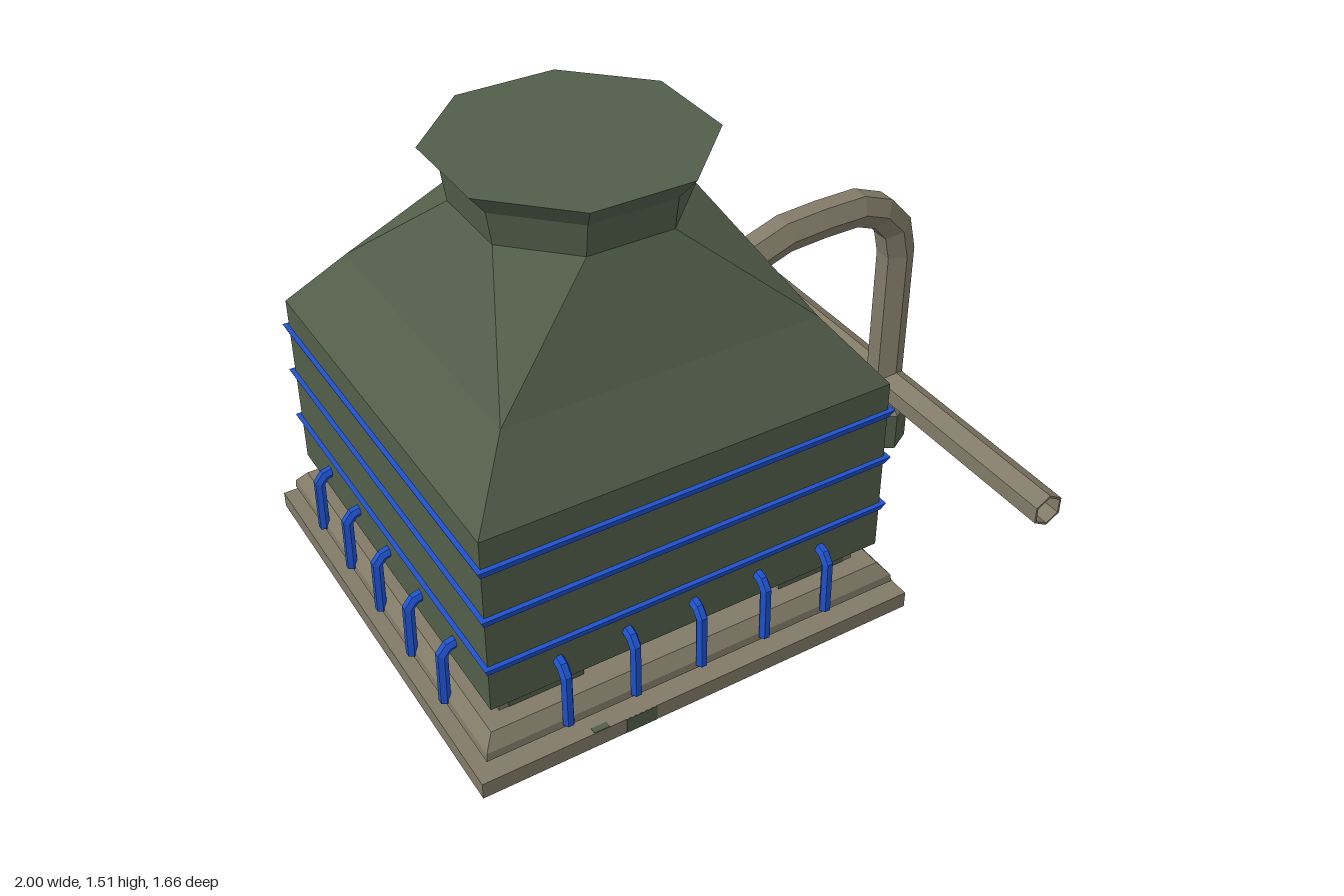
import * as THREE from 'three';

const CX = -0.272; // tower axis
const green = new THREE.MeshStandardMaterial({ color: 0x525e4a });
green.name = 'mossGreen';
const tan = new THREE.MeshStandardMaterial({ color: 0x817a67 });
tan.name = 'stoneTan';
const blue = new THREE.MeshStandardMaterial({ color: 0x1e52cc });
blue.name = 'clampBlue';

// Flat-faced skin over a series of rings, each counter-clockwise about the direction of travel
function loft(rings, capStart = true, capEnd = true) {
  const pos = [];
  const tri = (a, b, c) => {
    const area = b.clone().sub(a).cross(c.clone().sub(a)).length();
    if (area > 1e-8) for (const p of [a, b, c]) pos.push(p.x, p.y, p.z);
  };
  const n = rings[0].length;
  for (let r = 0; r < rings.length - 1; r++) {
    for (let i = 0; i < n; i++) {
      const j = (i + 1) % n;
      tri(rings[r][i], rings[r][j], rings[r + 1][j]);
      tri(rings[r][i], rings[r + 1][j], rings[r + 1][i]);
    }
  }
  const first = rings[0], last = rings[rings.length - 1];
  for (let i = 1; i < n - 1; i++) {
    if (capStart) tri(first[0], first[i + 1], first[i]);
    if (capEnd) tri(last[0], last[i], last[i + 1]);
  }
  const g = new THREE.BufferGeometry();
  g.setAttribute('position', new THREE.Float32BufferAttribute(pos, 3));
  g.computeVertexNormals();
  return g;
}

// Square ring (cut = half) or octagonal ring (smaller cut)
function ring([y, h, c = h]) {
  return [[h, c], [h, -c], [c, -h], [-c, -h], [-h, -c], [-h, c], [-c, h], [c, h]]
    .map(([x, z]) => new THREE.Vector3(x, y, z));
}

// Hexagonal pipe along a path in the xy plane
function hexPipe(path, radius) {
  const pts = path.map(([x, y]) => new THREE.Vector3(x, y, 0));
  const rings = pts.map((p, i) => {
    const inner = i > 0 && i < pts.length - 1;
    const a = pts[Math.max(i - 1, 0)], b = pts[Math.min(i + 1, pts.length - 1)];
    const before = p.clone().sub(a).normalize(), after = b.clone().sub(p).normalize();
    const t = before.clone().add(after).normalize();
    const miter = inner ? 1 / Math.sqrt((1 + before.dot(after)) / 2) : 1;
    const n = new THREE.Vector3(-t.y, t.x, 0).multiplyScalar(miter);
    return Array.from({ length: 6 }, (_, k) => {
      const ang = Math.PI / 6 + k * Math.PI / 3;
      return p.clone().addScaledVector(n, radius * Math.cos(ang))
        .add(new THREE.Vector3(0, 0, radius * Math.sin(ang)));
    });
  });
  return loft(rings);
}

function flat(geometry) {
  const g = geometry.toNonIndexed();
  g.computeVertexNormals();
  return g;
}

function add(parent, name, geometry, material, x = 0, y = 0, z = 0) {
  const mesh = new THREE.Mesh(geometry, material);
  mesh.name = name;
  mesh.position.set(x, y, z);
  parent.add(mesh);
  return mesh;
}

export function createModel() {
  const model = new THREE.Group();
  model.name = 'coolingTower';
  const tower = new THREE.Group();
  tower.name = 'tower';
  tower.position.set(CX, 0, 0.004);
  model.add(tower);

  // Stepped plinth, hollow underneath, with a worn patch on its front edge
  add(tower, 'plinth', loft([
    [0.05, 0.715], [0, 0.715], [0, 0.728], [0.055, 0.728], [0.055, 0.645],
    [0.095, 0.645], [0.095, 0.695], [0.12, 0.692], [0.16, 0.66],
  ].map(ring)), tan);
  add(tower, 'plinthPatch', new THREE.BoxGeometry(0.1, 0.053, 0.004), green, -0.22, 0.028, 0.728);
  add(tower, 'ledgePatch', new THREE.BoxGeometry(0.05, 0.004, 0.02), green, -0.35, 0.055, 0.717);

  // Corner legs between plinth and housing, stone with green facings
  for (const sx of [-1, 1]) for (const sz of [-1, 1]) {
    add(tower, 'leg', new THREE.BoxGeometry(0.27, 0.09, 0.27), tan, sx * 0.47, 0.198, sz * 0.465);
    add(tower, 'legFrontFacing', new THREE.BoxGeometry(0.24, 0.09, 0.004), green, sx * 0.455, 0.198, sz * 0.6);
    add(tower, 'legSideFacing', new THREE.BoxGeometry(0.004, 0.09, 0.13), green, sx * 0.605, 0.198, sz * 0.395);
  }

  // Square housing tapering to an octagonal neck with a flared cap
  add(tower, 'housing', loft([
    [0.235, 0.653], [0.833, 0.653], [1.03, 0.5], [1.337, 0.32, 0.137],
    [1.44, 0.335, 0.139], [1.51, 0.389, 0.161],
  ].map(ring)), green);

  // Flared hoops around the housing
  for (const y of [0.37, 0.546, 0.716]) {
    add(tower, 'hoop', loft([[y, 0.652], [y, 0.657], [y + 0.027, 0.668], [y + 0.027, 0.652]].map(ring), false, false), blue);
  }

  // Five hooked clamps on each side
  const clamp = hexPipe([[0.64, 0.317], [0.674, 0.309], [0.694, 0.285], [0.697, 0.108]], 0.018);
  for (let side = 0; side < 4; side++) {
    const row = new THREE.Group();
    row.name = 'clampRow';
    row.rotation.y = side * Math.PI / 2;
    for (let i = -2; i <= 2; i++) add(row, 'clamp', clamp, blue, 0, 0, i * 0.22);
    tower.add(row);
  }

  // Bent riser pipe running from the ground into the roof
  add(model, 'riserPipe', hexPipe([
    [0.918, 0.14], [0.918, 0.77], [0.895, 0.87], [0.83, 0.942],
    [0.74, 0.978], [0.6, 0.978], [0.465, 0.97], [0.29, 0.91],
  ], 0.061), tan, 0, 0, 0.003);

  // Level hollow cross pipe, open at both ends
  const bore = [[0.05, -0.828], [0.058, -0.828], [0.058, 0.828], [0.05, 0.828], [0.05, -0.828]]
    .map(([r, y]) => new THREE.Vector2(r, y));
  const cross = add(model, 'crossPipe', flat(new THREE.LatheGeometry(bore, 6)), tan, 0.92, 0.25, 0);
  cross.rotation.x = Math.PI / 2;

  // Hexagonal foot with a sloped shoulder and two tan outer panels
  add(model, 'pipeFoot', flat(new THREE.CylinderGeometry(0.088, 0.088, 0.138, 6)), green, 0.922, 0.069, 0);
  add(model, 'footShoulder', flat(new THREE.CylinderGeometry(0.062, 0.088, 0.028, 6)), tan, 0.922, 0.152, 0);
  for (const a of [0, Math.PI / 3]) {
    const panel = add(model, 'footPanel', new THREE.BoxGeometry(0.004, 0.136, 0.087), tan,
      0.922 + 0.076 * Math.cos(a), 0.069, -0.076 * Math.sin(a));
    panel.rotation.y = a;
  }

  return model;
}
